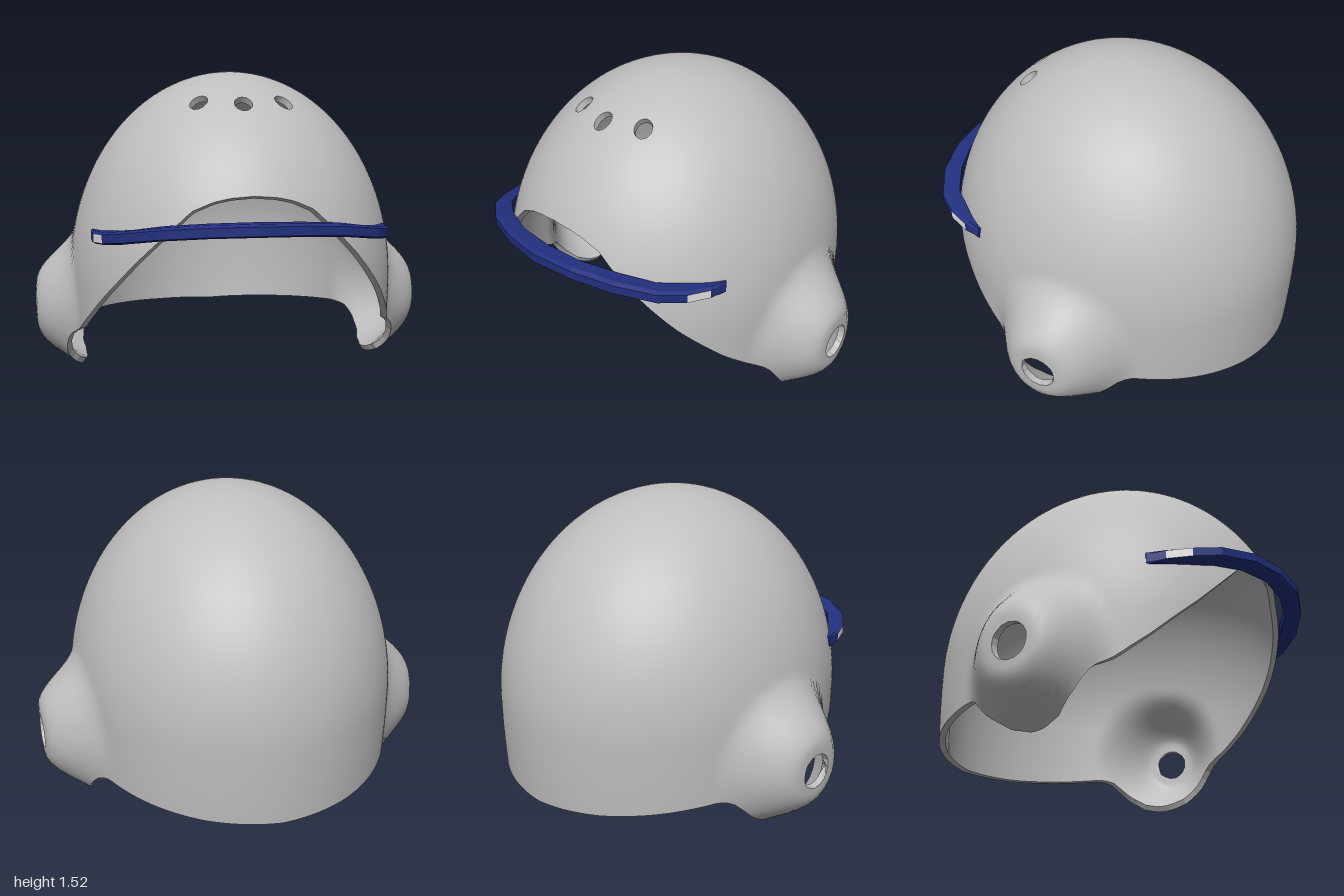
import * as THREE from 'three';

const WIDTH = 0.82, FRONT = 0.89, BACK = 0.93, HEIGHT = 1.02, WAIST = 0.5, THICK = 0.032;
const AROUND = 192, ROWS = 80;

// Lower rim height against angle from the front, in degrees
const RIM = [[0, 0.97], [8, 0.962], [14, 0.945], [21, 0.905], [36, 0.71], [47, 0.56], [61, 0.385], [70, 0.29],
  [76, 0.235], [81, 0.125], [86, 0.045], [91, 0.01], [95, 0], [101, 0.02], [108, 0.085], [115, 0.19],
  [119, 0.2], [136, 0.175], [155, 0.15], [180, 0.13]];
const EAR = { z: -0.085, y: 0.325, r: 0.085 };
const VENTS = [[-0.2, 0.415], [0, 0.475], [0.2, 0.415]];
const VENT_R = 0.042;

function rimHeight(deg) {
  const k = Math.max(1, RIM.findIndex(p => p[0] >= deg - 1e-6));
  const [a, ya] = RIM[k - 1], [b, yb] = RIM[k];
  return ya + (yb - ya) * (deg - a) / (b - a);
}

// One point of the outer surface; points inside an opening are pulled to its edge
function shellPoint(i, j) {
  const phi = i / AROUND * Math.PI * 2;
  let deg = i / AROUND * 360;
  if (deg > 180) deg = 360 - deg;
  const rim = rimHeight(deg);
  const length = rim > WAIST ? Math.acos((rim - WAIST) / HEIGHT) : Math.PI / 2 + WAIST - rim;
  const q = j / ROWS * length, upper = q < Math.PI / 2;
  const drop = upper ? 0 : q - Math.PI / 2;
  const rho = upper ? Math.sin(q) : 1 - 0.1 * drop * drop;
  let y = upper ? WAIST + HEIGHT * Math.cos(q) : WAIST - drop;
  let x = WIDTH * rho * Math.sin(phi);
  const depth = Math.cos(phi) > 0 ? FRONT : BACK;
  let z = depth * rho * Math.cos(phi);
  let inside = false;
  for (const [vx, vz] of VENTS) {
    const d = Math.hypot(x - vx, z - vz);
    if (y > 1 && d < VENT_R) {
      inside = true;
      const s = VENT_R / Math.max(d, 1e-5);
      x = vx + (x - vx) * s;
      z = vz + (z - vz) * s;
      y = WAIST + HEIGHT * Math.sqrt(1 - (x / WIDTH) ** 2 - (z / FRONT) ** 2);
    }
  }
  if (Math.abs(x) > 0.5 && y < 0.9) {
    const d = Math.hypot(z - EAR.z, y - EAR.y);
    if (d < EAR.r) {
      inside = true;
      const s = EAR.r / Math.max(d, 1e-5);
      z = EAR.z + (z - EAR.z) * s;
      y = EAR.y + (y - EAR.y) * s;
    }
    // Ear bulge, curling in at its lower edge
    const e = Math.hypot(z - EAR.z, (y - EAR.y) * (y > EAR.y ? 0.92 : 1));
    const bump = 0.18 * (1 - THREE.MathUtils.smoothstep(e, 0.12, 0.38));
    const curl = 2.5 * Math.max(0, 0.15 - y) ** 2;
    x += Math.sign(x) * (bump - curl);
  }
  return { p: [x, y, z], inside };
}

function geometry(positions, index) {
  const g = new THREE.BufferGeometry();
  g.setAttribute('position', new THREE.Float32BufferAttribute(positions, 3));
  if (index) g.setIndex(index);
  g.computeVertexNormals();
  return g;
}

function makeShell(material) {
  const pos = [0, WAIST + HEIGHT, 0], inside = [false], index = [];
  for (let j = 1; j <= ROWS; j++) for (let i = 0; i < AROUND; i++) {
    const v = shellPoint(i, j);
    pos.push(...v.p);
    inside.push(v.inside);
  }
  const id = (i, j) => j === 0 ? 0 : 1 + (j - 1) * AROUND + i % AROUND;
  const add = (a, b, c) => {
    if (a === b || b === c || a === c || (inside[a] && inside[b] && inside[c])) return;
    index.push(a, b, c);
  };
  for (let j = 0; j < ROWS; j++) for (let i = 0; i < AROUND; i++) {
    const a = id(i, j), b = id(i + 1, j), c = id(i, j + 1), d = id(i + 1, j + 1);
    add(a, c, b);
    add(b, c, d);
  }
  const outer = geometry(pos, index);

  // Lining: the outer surface moved inwards and turned round
  const n = outer.attributes.normal.array;
  const innerPos = pos.map((v, k) => v - n[k] * THICK);
  const innerIndex = [];
  for (let k = 0; k < index.length; k += 3) innerIndex.push(index[k], index[k + 2], index[k + 1]);

  // Edge walls along the rim and round every opening
  const edges = new Set(), wall = [];
  const eachEdge = fn => {
    for (let k = 0; k < index.length; k += 3)
      for (let m = 0; m < 3; m++) fn(index[k + m], index[k + (m + 1) % 3]);
  };
  eachEdge((p, q) => edges.add(p + '_' + q));
  const at = (arr, k) => arr.slice(k * 3, k * 3 + 3);
  eachEdge((p, q) => {
    if (edges.has(q + '_' + p)) return;
    const P = at(pos, p), Q = at(pos, q), p2 = at(innerPos, p), q2 = at(innerPos, q);
    wall.push(...Q, ...P, ...p2, ...Q, ...p2, ...q2);
  });

  const group = new THREE.Group();
  group.name = 'helmetShell';
  const parts = { outerShell: outer, innerLining: geometry(innerPos, innerIndex), rimEdge: geometry(wall) };
  for (const [name, g] of Object.entries(parts)) {
    const mesh = new THREE.Mesh(g, material);
    mesh.name = name;
    group.add(mesh);
  }
  return group;
}

// Brow band half: outer x, outer z, inner x, inner z, middle height
const BAND = [[0, 0.93, 0, 0.84, 0.837], [0.22, 0.9, 0.2, 0.82, 0.832], [0.42, 0.83, 0.38, 0.75, 0.815],
  [0.58, 0.72, 0.52, 0.66, 0.787], [0.655, 0.61, 0.6, 0.55, 0.768], [0.695, 0.5, 0.65, 0.46, 0.758],
  [0.705, 0.41, 0.69, 0.4, 0.755]];
const BAND_PROFILE = [[0, -0.028], [0.75, -0.029], [1, -0.02], [1, 0.02], [0.75, 0.029], [0, 0.028]];

function makeBand(keepFace) {
  const mirrored = BAND.slice(1).reverse().map(([a, b, c, d, e]) => [-a, b, -c, d, e]);
  const rings = [...mirrored, ...BAND].map(([xo, zo, xi, zi, y]) =>
    BAND_PROFILE.map(([u, v]) => [xi + (xo - xi) * u, y + v, zi + (zo - zi) * u]));
  const out = [], last = rings.length - 1, sides = BAND_PROFILE.length;
  for (let s = 0; s < last; s++) for (let k = 0; k < sides; k++) {
    if (!keepFace(s, k, last)) continue;
    const m = (k + 1) % sides;
    const a = rings[s][k], b = rings[s + 1][k], c = rings[s + 1][m], d = rings[s][m];
    out.push(...a, ...b, ...c, ...a, ...c, ...d);
  }
  // End caps
  if (keepFace(-1, -1, last)) for (let k = 1; k < sides - 1; k++) {
    const l = rings[0], r = rings[last];
    out.push(...l[0], ...l[k], ...l[k + 1], ...r[0], ...r[k + 1], ...r[k]);
  }
  return geometry(out);
}

export function createModel() {
  const shellGrey = new THREE.MeshStandardMaterial({ color: 0xbebebe });
  shellGrey.name = 'shellGrey';
  const bandBlue = new THREE.MeshStandardMaterial({ color: 0x22307f, side: THREE.DoubleSide });
  bandBlue.name = 'bandBlue';
  const patchWhite = new THREE.MeshStandardMaterial({ color: 0xf0f0f0, side: THREE.DoubleSide });
  patchWhite.name = 'patchWhite';

  const model = new THREE.Group();
  model.name = 'helmet';
  model.add(makeShell(shellGrey));

  // Small pale faces near both ends of the band
  const isPatch = (s, k, last) => k === 2 && (s === 1 || s === last - 2);
  const band = new THREE.Mesh(makeBand((s, k, last) => !isPatch(s, k, last)), bandBlue);
  band.name = 'browBand';
  const patches = new THREE.Mesh(makeBand(isPatch), patchWhite);
  patches.name = 'bandPatches';
  model.add(band, patches);
  return model;
}
